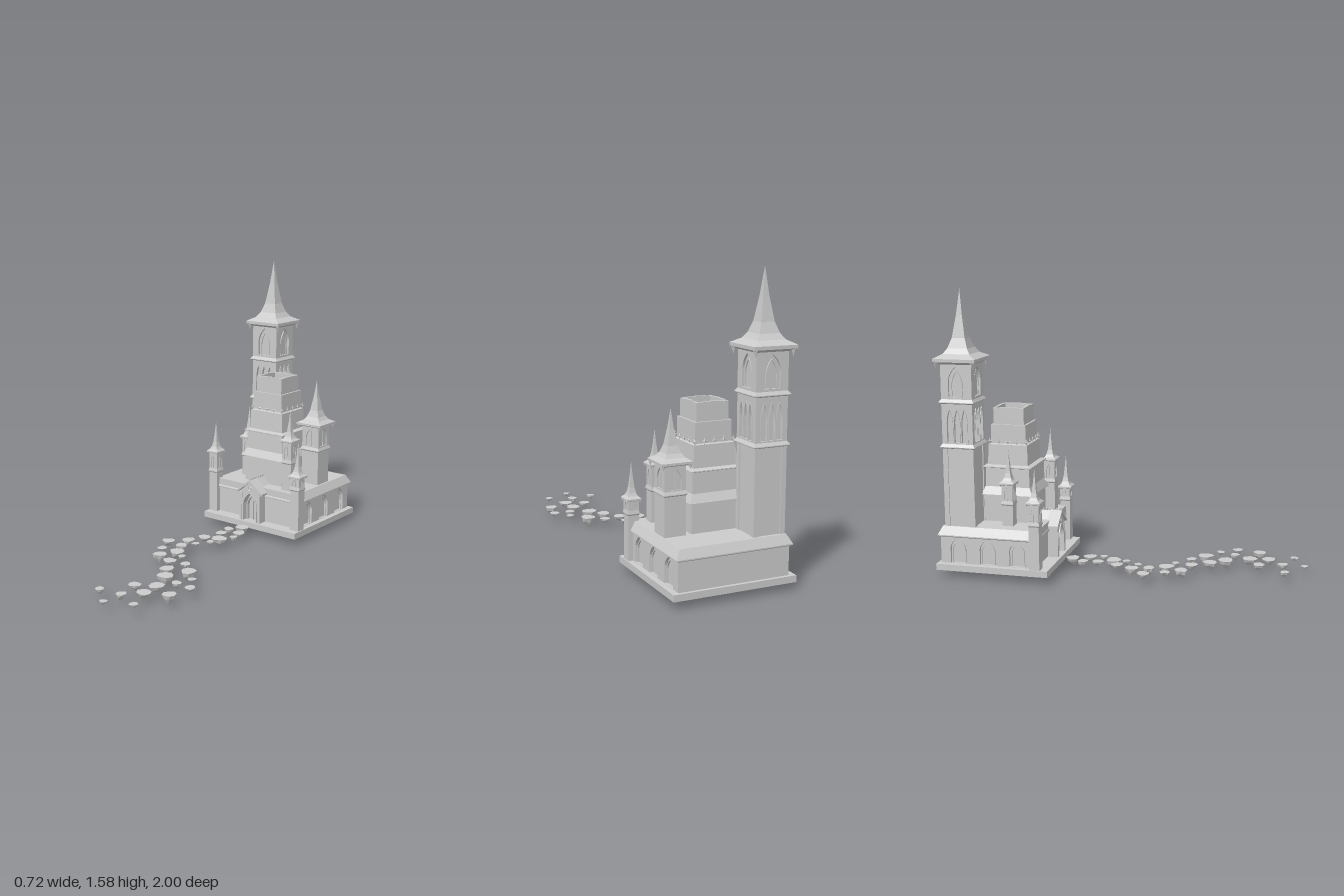
import * as THREE from 'three';

const mat = new THREE.MeshStandardMaterial({ color: 0xcccccc, flatShading: true, side: THREE.DoubleSide });

function add(parent, name, geo, x = 0, y = 0, z = 0) {
  const m = new THREE.Mesh(geo, mat);
  m.name = name;
  m.position.set(x, y, z);
  parent.add(m);
  return m;
}
const box = (parent, name, w, h, d, x, y, z) => add(parent, name, new THREE.BoxGeometry(w, h, d), x, y, z);

// Square-plan solid from [halfWidth, y] pairs, listed bottom to top
function square(points) {
  const g = new THREE.LatheGeometry(points.map(([r, y]) => new THREE.Vector2(r * Math.SQRT2, y)), 4);
  return g.rotateY(Math.PI / 4);
}

// Pointed arch outline: centre x, half width, foot, springing and apex heights
function arch(cx, h, y0, ys, ya, Type = THREE.Path) {
  const p = new Type();
  const ym = ys + (ya - ys) * 0.6;
  p.moveTo(cx - h, y0);
  p.lineTo(cx + h, y0);
  p.lineTo(cx + h, ys);
  p.quadraticCurveTo(cx + h * 0.85, ym, cx, ya);
  p.quadraticCurveTo(cx - h * 0.85, ym, cx - h, ys);
  p.closePath();
  return p;
}

function polygon(points, Type = THREE.Shape) {
  return new Type(points.map(([x, y]) => new THREE.Vector2(x, y)));
}

const extrude = (shape, depth) => new THREE.ExtrudeGeometry(shape, { depth, bevelEnabled: false, curveSegments: 5 });

// Upright wall slab with openings
function wall(half, y0, y1, holes, depth) {
  const s = polygon([[-half, y0], [half, y0], [half, y1], [-half, y1]]);
  s.holes.push(...holes);
  return extrude(s, depth);
}

// Raised pointed moulding
function archFrame(cx, h, y0, ys, ya, t, depth) {
  const s = arch(cx, h + t, y0, ys, ya + t * 1.5, THREE.Shape);
  s.holes.push(arch(cx, h, y0 + 0.001, ys, ya));
  return extrude(s, depth);
}

// Runs a builder once per side of a square plan
function fourSides(parent, build) {
  for (let i = 0; i < 4; i++) {
    const side = new THREE.Group();
    side.name = 'side';
    side.rotation.y = i * Math.PI / 2;
    parent.add(side);
    build(side);
  }
}

// Square tower storey: solid core behind four pierced walls
function storey(parent, name, half, y0, y1, holes, t = half * 0.14) {
  add(parent, name + 'Core', square([[0, y0], [half - t, y0], [half - t, y1], [0, y1]]));
  fourSides(parent, side => add(side, name + 'Wall', wall(half, y0, y1, holes, t), 0, 0, half - t));
}

function band(parent, half, y) {
  add(parent, 'stringCourse', square([[half, y - 0.008], [half * 1.13, y - 0.002], [half * 1.13, y + 0.002], [half, y + 0.018]]));
}

// Steep spire on shallow flared eaves, with corner brackets below
function spire(parent, half, eaveHalf, y, tip) {
  const h = tip - y, e = eaveHalf;
  const profile = [[1, 0], [1, 0.045], [0.64, 0.105], [0.47, 0.18], [0.31, 0.32], [0.145, 0.63], [0, 1]];
  add(parent, 'spire', square([[half, y - e * 0.12], ...profile.map(([r, v]) => [r * e, y + v * h])]));
  for (const sx of [-1, 1]) for (const sz of [-1, 1]) {
    const b = add(parent, 'eaveBracket', new THREE.ConeGeometry(e * 0.15, e * 0.38, 4), sx * e * 0.87, y - e * 0.14, sz * e * 0.87);
    b.rotation.x = Math.PI;
  }
}

function tower(root, name, x, z, y0, half, bandY, eaveHalf, eaveY, tip) {
  const g = new THREE.Group();
  g.name = name;
  g.position.set(x, 0, z);
  root.add(g);
  const h = eaveY - bandY, w = half * 0.55;
  add(g, 'shaft', square([[half, y0], [half, bandY]]));
  storey(g, 'belfry', half, bandY, eaveY, [arch(0, w, bandY + h * 0.16, bandY + h * 0.5, bandY + h * 0.85)]);
  fourSides(g, side => box(side, 'mullion', half * 0.1, h * 0.62, half * 0.1, 0, bandY + h * 0.47, half * 0.9));
  band(g, half, bandY);
  spire(g, half, eaveHalf, eaveY, tip);
}

function greatTower(root) {
  const g = new THREE.Group();
  g.name = 'greatTower';
  g.position.set(-0.22, 0, -0.87);
  root.add(g);
  const panel = polygon([[-0.06, 0.245], [0.06, 0.245], [0.06, 0.73], [-0.06, 0.73]], THREE.Path);
  storey(g, 'shaft', 0.088, 0.24, 0.735, [panel], 0.006);
  storey(g, 'arcade', 0.088, 0.735, 0.98, [-0.042, 0, 0.042].map(x => arch(x, 0.016, 0.76, 0.87, 0.94)));
  storey(g, 'belfry', 0.088, 0.98, 1.2, [arch(0, 0.045, 1.01, 1.1, 1.175)]);
  fourSides(g, side => {
    add(side, 'belfryTracery', archFrame(0, 0.027, 1.01, 1.08, 1.145, 0.006, 0.008), 0, 0, 0.074);
    for (const x of [-0.042, 0, 0.042]) add(side, 'lancetMoulding', archFrame(x, 0.016, 0.76, 0.87, 0.94, 0.003, 0.004), 0, 0, 0.088);
  });
  for (const y of [0.735, 0.98]) band(g, 0.088, y);
  spire(g, 0.088, 0.119, 1.2, 1.585);
}

function keep(root) {
  const g = new THREE.Group();
  g.name = 'keep';
  g.position.set(-0.022, 0, -0.648);
  root.add(g);
  // Stepped body, hollow at the top
  add(g, 'keepBody', square([
    [0.135, 0.28], [0.135, 0.438], [0.15, 0.442], [0.15, 0.447], [0.128, 0.49], [0.126, 0.594], [0.14, 0.599], [0.14, 0.604],
    [0.116, 0.612], [0.112, 0.72], [0.112, 0.725], [0.1, 0.73], [0.1, 0.835], [0.088, 0.835], [0.088, 0.918],
    [0.072, 0.918], [0.072, 0.85], [0, 0.85]]));
  fourSides(g, side => {
    for (let i = 0; i < 5; i++) {
      const x = -0.105 + i * 0.0525;
      const star = add(side, 'starOrnament', new THREE.OctahedronGeometry(1, 0), x, 0.742, 0.108);
      star.scale.set(0.005, 0.021, 0.005);
      const arm = add(side, 'starArm', new THREE.OctahedronGeometry(1, 0), x, 0.742, 0.108);
      arm.scale.set(0.014, 0.005, 0.005);
    }
    // Uneven broken parapet
    for (let i = 0; i < 5; i++) {
      const h = 0.01 + 0.004 * Math.abs(Math.sin(i * 2.3));
      box(side, 'parapetBlock', 0.035, h, 0.016, -0.07 + i * 0.035, 0.917 + h / 2, 0.08);
    }
  });
}

function hall(root) {
  const g = new THREE.Group();
  g.name = 'hall';
  g.position.set(-0.02, 0, -0.71);
  root.add(g);
  const body = add(g, 'hallBody', square([[0.95, 0.08], [0.95, 0.23], [1.0, 0.232], [1.05, 0.24], [1.05, 0.246], [0.965, 0.292], [0, 0.292]]));
  body.scale.set(0.3, 1, 0.27);
  for (const s of [-1, 1]) {
    box(g, s > 0 ? 'frontWall' : 'backWall', 0.6, 0.155, 0.02, 0, 0.1575, s * 0.262);
    // Side walls with three pointed niches
    const side = new THREE.Group();
    side.name = 'arcadedSide';
    side.rotation.y = s * Math.PI / 2;
    g.add(side);
    const xs = [-0.17, 0, 0.17];
    add(side, 'sideWall', wall(0.27, 0.08, 0.238, xs.map(x => arch(x, 0.046, 0.087, 0.175, 0.232)), 0.018), 0, 0, 0.283);
    for (const x of xs) add(side, 'nicheMoulding', archFrame(x, 0.034, 0.087, 0.165, 0.212, 0.005, 0.01), 0, 0, 0.283);
  }
  box(g, 'frontParapet', 0.56, 0.06, 0.02, 0, 0.262, 0.27);
}

function gatehouse(root) {
  const g = new THREE.Group();
  g.name = 'gatehouse';
  g.position.set(-0.022, 0, 0);
  root.add(g);
  const front = polygon([[-0.066, 0.08], [0.066, 0.08], [0.066, 0.268], [0, 0.33], [-0.066, 0.268]]);
  front.holes.push(arch(0, 0.046, 0.086, 0.19, 0.26));
  add(g, 'gateFront', extrude(front, 0.06), 0, 0, -0.442);
  add(g, 'gateMoulding', archFrame(0, 0.046, 0.086, 0.19, 0.258, 0.005, 0.006), 0, 0, -0.382);
  add(g, 'innerMoulding', archFrame(0, 0.032, 0.086, 0.18, 0.235, 0.006, 0.02), 0, 0, -0.42);
  box(g, 'door', 0.09, 0.17, 0.01, 0, 0.17, -0.425);
  box(g, 'doorPost', 0.006, 0.14, 0.012, 0, 0.155, -0.416);
  const chevron = polygon([[-0.09, 0.268], [-0.09, 0.255], [0, 0.326], [0.09, 0.255], [0.09, 0.268], [0, 0.342]]);
  add(g, 'gableRoof', extrude(chevron, 0.07), 0, 0, -0.442);
  add(g, 'ridgeRoof', extrude(polygon([[-0.045, 0.29], [0.045, 0.29], [0, 0.336]]), 0.08), 0, 0, -0.515);
  for (let i = 0; i < 7; i++) box(g, 'ridgeCrest', 0.008, 0.014, 0.008, 0, 0.342, -0.385 - i * 0.019);
  add(g, 'gableFinial', new THREE.ConeGeometry(0.006, 0.026, 4), 0, 0.35, -0.376);
  add(g, 'rosette', new THREE.TorusGeometry(0.011, 0.003, 4, 8), 0, 0.284, -0.381);
  for (const s of [-1, 1]) box(g, 'buttress', 0.016, 0.17, 0.055, s * 0.066, 0.17, -0.405);
}

// Floating stepping stones: x, z, radius
const STONES = [
  -.025, -.31, .04, -.07, -.24, .03, .02, -.22, .038, -.06, -.155, .033, .04, -.145, .022, -.01, -.075, .045, -.09, -.04, .037,
  -.015, 0, .022, -.13, .055, .038, -.06, .075, .022, -.21, .135, .037, -.105, .145, .033, -.06, .235, .044, -.16, .245, .029,
  .01, .275, .022, -.105, .325, .038, 0, .365, .038, .1, .35, .03, .18, .42, .044, .065, .46, .04, .265, .495, .024,
  .125, .54, .045, .235, .58, .028, .33, .585, .03, .18, .67, .043, .305, .715, .037, .085, .73, .034, .19, .775, .041,
  -.015, .88, .025, .115, .86, .029, .25, .915, .024, .11, .98, .021];

// Flat top, full rounded flank and an off-centre jagged tip
function stone(r, seed) {
  const d = r * (1.05 + 0.3 * Math.sin(seed * 2.7));
  const g = new THREE.CylinderGeometry(r, r * 0.15, d, 8, 2).translate(0, -d / 2, 0);
  const p = g.attributes.position;
  for (let i = 0; i < p.count; i++) {
    const x = p.getX(i), y = p.getY(i), z = p.getZ(i), a = Math.atan2(z, x);
    const mid = y < -d * 0.2 && y > -d * 0.8;
    const k = (mid ? 1.42 : 1) * (0.98 + 0.08 * Math.sin(3 * a + seed) + 0.07 * Math.cos(2 * a + seed * 1.7));
    const tip = y < -d * 0.8 ? r * 0.2 : 0;
    p.setXYZ(i, x * k + tip * Math.sin(seed), mid ? y + d * (0.1 + 0.12 * Math.sin(4 * a + seed)) : y, z * k + tip * Math.cos(seed));
  }
  return g;
}

export function createModel() {
  const root = new THREE.Group();
  root.name = 'castle';

  // Plinth, recessed underneath
  const plinth = add(root, 'basePlinth', square([[0, 0.078], [0.93, 0.078], [0.93, 0.05], [1, 0.05], [1, 0.085], [0, 0.085]]), -0.021, 0, -0.681);
  plinth.scale.set(0.334, 1, 0.319);
  hall(root);
  keep(root);
  gatehouse(root);
  greatTower(root);
  tower(root, 'sideTower', 0.202, -0.73, 0.28, 0.057, 0.5, 0.083, 0.65, 0.915);
  tower(root, 'frontRightTurret', -0.322, -0.435, 0.08, 0.029, 0.335, 0.04, 0.452, 0.645);
  tower(root, 'frontLeftTurret', 0.278, -0.435, 0.08, 0.029, 0.33, 0.04, 0.4, 0.6);
  tower(root, 'innerRightTurret', -0.208, -0.62, 0.28, 0.031, 0.415, 0.042, 0.525, 0.72);
  tower(root, 'innerLeftTurret', 0.177, -0.497, 0.28, 0.031, 0.46, 0.042, 0.585, 0.77);

  const path = new THREE.Group();
  path.name = 'stonePath';
  root.add(path);
  for (let i = 0; i < STONES.length; i += 3) add(path, 'steppingStone', stone(STONES[i + 2], i), STONES[i], 0.068, STONES[i + 1]);
  return root;
}
